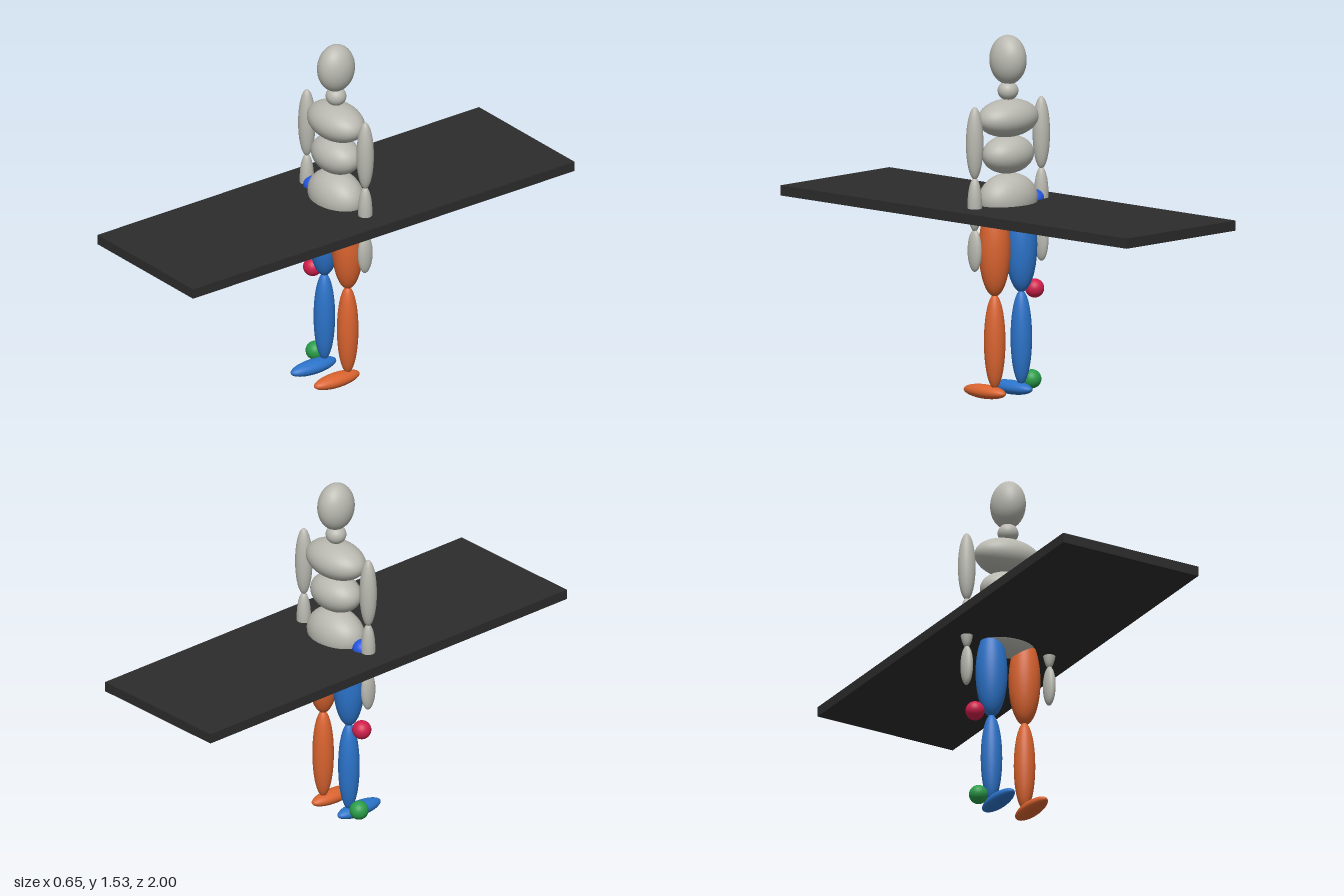
import * as THREE from 'three';

export function createModel() {
  const model = new THREE.Group();
  model.name = 'figureOnTable';

  const mat = (name, color) => {
    const m = new THREE.MeshStandardMaterial({ color });
    m.name = name;
    return m;
  };
  const grey = mat('body grey', 0xb9b9b1);
  const orange = mat('left leg orange', 0xd9632f);
  const blue = mat('right leg blue', 0x2b73c9);
  const hipBlue = mat('hip marker blue', 0x2456e0);
  const kneeRed = mat('knee marker red', 0xd01f4c);
  const ankleGreen = mat('ankle marker green', 0x2a9d4a);
  const black = mat('table black', 0x2c2c2c);

  // Every body part is a stretched sphere
  const ball = new THREE.SphereGeometry(1, 40, 28);
  const ellipsoid = (name, material, center, radii, parent = model) => {
    const mesh = new THREE.Mesh(ball, material);
    mesh.name = name;
    mesh.position.set(...center);
    mesh.scale.set(...radii);
    parent.add(mesh);
  };

  // Head and torso
  ellipsoid('head', grey, [0, 1.43, 0], [0.071, 0.104, 0.084]);
  ellipsoid('neck', grey, [0, 1.3, 0], [0.044, 0.041, 0.043]);
  ellipsoid('chest', grey, [0, 1.185, 0], [0.152, 0.08, 0.1]);
  ellipsoid('abdomen', grey, [0, 1.032, 0], [0.126, 0.081, 0.09]);
  ellipsoid('pelvis', grey, [0, 0.845, 0], [0.145, 0.108, 0.1]);

  // Arms and legs, mirrored
  for (const [side, s, legColor] of [['left', 1, orange], ['right', -1, blue]]) {
    const arm = new THREE.Group();
    arm.name = side + 'Arm';
    ellipsoid(side + 'UpperArm', grey, [s * 0.2, 1.1, 0], [0.037, 0.153, 0.036], arm);
    ellipsoid(side + 'Forearm', grey, [s * 0.2, 0.842, 0], [0.03, 0.114, 0.03], arm);
    ellipsoid(side + 'Hand', grey, [s * 0.2, 0.647, 0], [0.023, 0.089, 0.035], arm);

    const leg = new THREE.Group();
    leg.name = side + 'Leg';
    ellipsoid(side + 'Thigh', legColor, [s * 0.08, 0.64, 0], [0.067, 0.2, 0.066], leg);
    ellipsoid(side + 'Shin', legColor, [s * 0.08, 0.25, 0], [0.045, 0.2, 0.045], leg);
    ellipsoid(side + 'Foot', legColor, [s * 0.08, 0.033, 0.057], [0.04, 0.03, 0.116], leg);
    model.add(arm, leg);
  }

  // Joint markers beside the right leg
  ellipsoid('hipMarker', hipBlue, [-0.16, 0.826, 0], [0.04, 0.04, 0.04]);
  ellipsoid('kneeMarker', kneeRed, [-0.16, 0.448, 0], [0.04, 0.04, 0.04]);
  ellipsoid('ankleMarker', ankleGreen, [-0.143, 0.067, 0], [0.04, 0.04, 0.04]);

  // Table slab at hip height
  const table = new THREE.Mesh(new THREE.BoxGeometry(0.654, 0.043, 2), black);
  table.name = 'tableTop';
  table.position.y = 0.804;
  model.add(table);

  return model;
}
